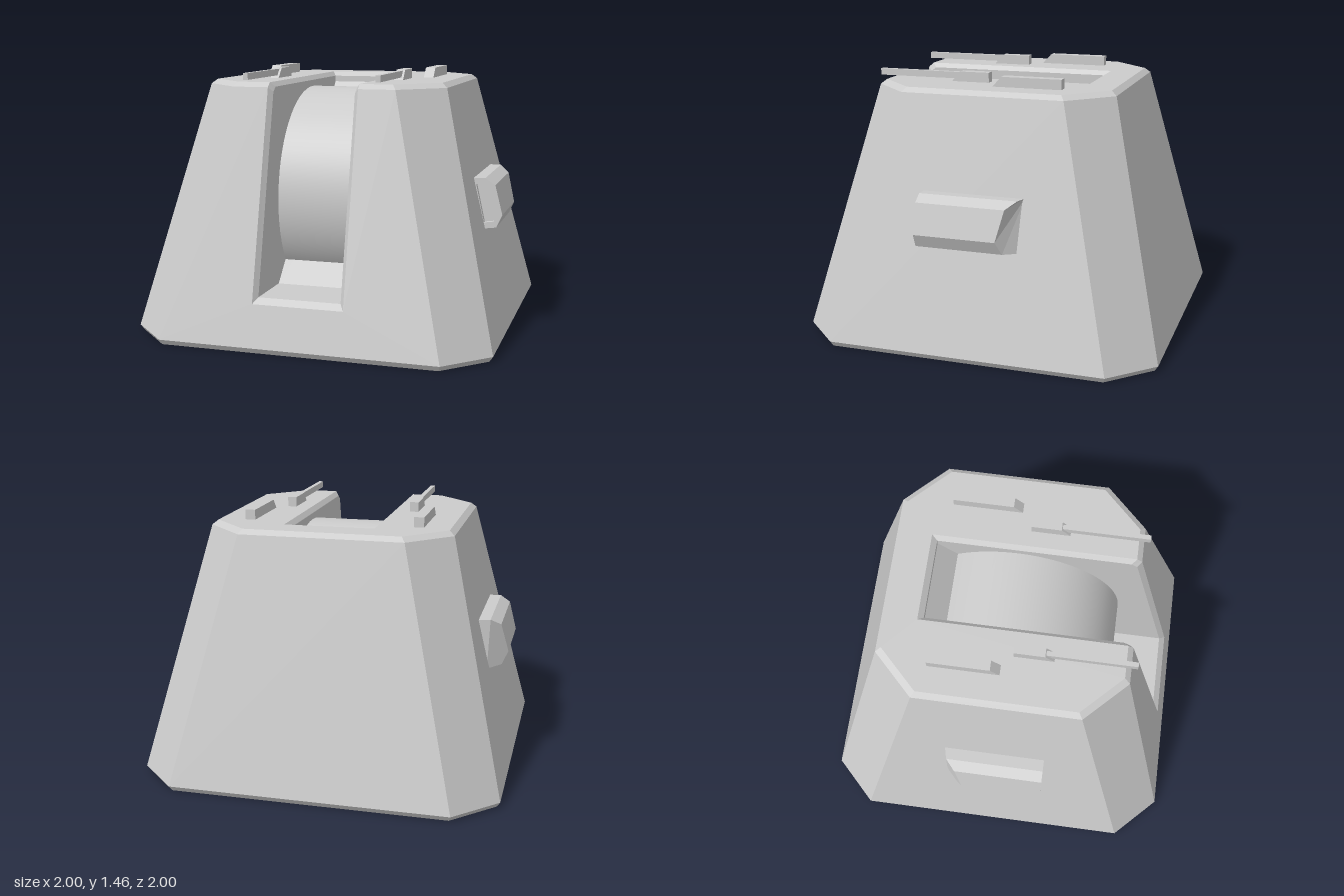
import * as THREE from 'three';

const mat = new THREE.MeshStandardMaterial({ color: 0xcccccc, flatShading: true });
const smooth = new THREE.MeshStandardMaterial({ color: 0xcccccc });

// Collects flat convex faces; each is turned to look along the given direction
function faceBuilder() {
  const pos = [];
  const face = (pts, dir) => {
    const v = pts.map((p) => new THREE.Vector3(...p));
    const n = new THREE.Vector3();
    for (let i = 1; i < v.length - 1; i++) {
      n.add(v[i].clone().sub(v[0]).cross(v[i + 1].clone().sub(v[0])));
    }
    if (n.dot(new THREE.Vector3(...dir)) < 0) v.reverse();
    for (let i = 1; i < v.length - 1; i++) {
      for (const q of [v[0], v[i], v[i + 1]]) pos.push(q.x, q.y, q.z);
    }
  };
  // The same face on both sides of the model
  const both = (pts, dir) => {
    face(pts, dir);
    face(pts.map(([x, y, z]) => [-x, y, z]), [-dir[0], dir[1], dir[2]]);
  };
  const mesh = (name) => {
    const g = new THREE.BufferGeometry();
    g.setAttribute('position', new THREE.Float32BufferAttribute(pos, 3));
    g.computeVertexNormals();
    const m = new THREE.Mesh(g, mat);
    m.name = name;
    return m;
  };
  return { face, both, mesh };
}

// Octagonal tapered body with a slot through its top and front
function buildBody() {
  const { face, both, mesh } = faceBuilder();
  const ring = (y, h, c) => [
    [c, y, h], [h, y, c], [h, y, -c], [c, y, -h],
    [-c, y, -h], [-h, y, -c], [-h, y, c], [-c, y, h],
  ];
  const rings = [ring(0, 0.98, 0.76), ring(0.03, 1, 0.77), ring(1.375, 0.675, 0.45), ring(1.4, 0.645, 0.43)];
  const frontZ = (y) => 1 - 0.2416 * (y - 0.03);

  face(rings[0], [0, -1, 0]);
  for (let r = 0; r < 3; r++) {
    for (let i = 0; i < 8; i++) {
      if (r > 0 && i === 7) continue; // slotted front
      const j = (i + 1) % 8;
      const a = rings[r][i], b = rings[r][j];
      face([a, b, rings[r + 1][j], rings[r + 1][i]], [a[0] + b[0], 0, a[2] + b[2]]);
    }
  }

  // Slot edge on the skin, and the bevelled edge inside it, as [y, z]
  const ow = 0.25, iw = 0.227;
  const outer = [[1.4, -0.48], [1.4, 0.645], [1.375, 0.675], [0.255, frontZ(0.255)]];
  const inner = [[1.375, -0.45], [1.375, 0.62], [1.35, 0.653], [0.285, 0.91]];
  const O = outer.map(([y, z]) => [ow, y, z]);
  const I = inner.map(([y, z]) => [iw, y, z]);
  const flip = ([x, y, z]) => [-x, y, z];

  // Front face, rim and deck around the slot
  const [, foot, shoulder, deck] = rings.map((r) => r[0]);
  both([O[3], foot, shoulder, O[2]], [0, 0, 1]);
  face([flip(foot), foot, O[3], flip(O[3])], [0, 0, 1]);
  both([O[2], shoulder, deck, O[1]], [0, 1, 1]);
  const t = rings[3];
  both([O[1], t[0], t[1], t[2], t[3], O[0]], [0, 1, 0]);
  face([flip(O[0]), O[0], t[3], t[4]], [0, 1, 0]);

  // Slot bevels
  for (let i = 0; i < 3; i++) both([O[i], O[i + 1], I[i + 1], I[i]], [-1, 0.2, 0.2]);
  face([O[0], flip(O[0]), flip(I[0]), I[0]], [0, 1, 1]);
  face([O[3], flip(O[3]), flip(I[3]), I[3]], [0, 1, 1]);

  // Slot walls, back, ramp and floor
  const rampTop = [iw, 1.34, -0.45], rampFoot = [iw, 0.285, 0.605];
  both([...I, rampFoot, rampTop], [-1, 0, 0]);
  face([I[0], flip(I[0]), flip(rampTop), rampTop], [0, 0, 1]);
  face([rampTop, flip(rampTop), flip(rampFoot), rampFoot], [0, 1, 1]);
  face([rampFoot, flip(rampFoot), flip(I[3]), I[3]], [0, 1, 0]);
  return mesh('body');
}

// Side pods: faceted housing, recessed front end, slanted back end
function buildPods() {
  const { both, mesh } = faceBuilder();
  const profile = [[0.785, 0.875], [0.86, 0.877], [0.915, 0.84], [0.957, 0.675], [0.925, 0.605], [0.85, 0.595]];
  const cx = 0.873, cy = 0.74;
  const inset = profile.map(([x, y]) => [cx + (x - cx) * 0.72, cy + (y - cy) * 0.76]);
  const at = (p, z) => p.map(([x, y]) => [x, y, z]);
  const back = profile.map(([x, y]) => [x, y, -0.28 + Math.max(0, x - 0.84) * 0.93]);
  const front = at(profile, 0.28), lip = at(inset, 0.28), deep = at(inset, 0.25);
  for (let i = 0; i < 6; i++) {
    const j = (i + 1) % 6;
    const out = [(profile[i][0] + profile[j][0]) / 2 - cx, (profile[i][1] + profile[j][1]) / 2 - cy, 0];
    both([back[i], back[j], front[j], front[i]], out);
    both([front[i], front[j], lip[j], lip[i]], [0, 0, 1]);
    both([lip[i], lip[j], deep[j], deep[i]], out.map((v) => -v));
  }
  both(deep, [0, 0, 1]);
  both(back, [0, 0, -1]);
  return mesh('sidePods');
}

// Deck block whose front end slopes at 45 degrees
function deckBlock(name, x, width, zBack, zFront) {
  const y0 = 1.395, y1 = 1.455;
  const s = new THREE.Shape([
    new THREE.Vector2(zBack, y0), new THREE.Vector2(zFront, y0),
    new THREE.Vector2(zFront - 0.055, y1), new THREE.Vector2(zBack, y1),
  ]);
  const g = new THREE.ExtrudeGeometry(s, { depth: width, bevelEnabled: false });
  g.translate(0, 0, -width / 2).rotateY(-Math.PI / 2);
  const m = new THREE.Mesh(g, mat);
  m.name = name;
  m.position.x = x;
  return m;
}

export function createModel() {
  const model = new THREE.Group();
  model.name = 'turret';
  model.add(buildBody(), buildPods());

  // Drum resting in the slot
  const drum = new THREE.Mesh(new THREE.CylinderGeometry(0.6, 0.6, 0.452, 64), smooth);
  drum.name = 'drum';
  drum.rotation.z = Math.PI / 2;
  drum.position.set(0, 0.74, 0);
  model.add(drum);

  // Deck fittings on both sides
  for (const side of [-1, 1]) {
    model.add(deckBlock('deckBlock', side * 0.473, 0.056, -0.39, 0));
    model.add(deckBlock('gunMount', side * 0.365, 0.05, 0.055, 0.275));
    const barrel = new THREE.Mesh(new THREE.BoxGeometry(0.026, 0.036, 0.5), mat);
    barrel.name = 'gunBarrel';
    barrel.position.set(side * 0.365, 1.432, 0.455);
    model.add(barrel);
  }
  return model;
}
